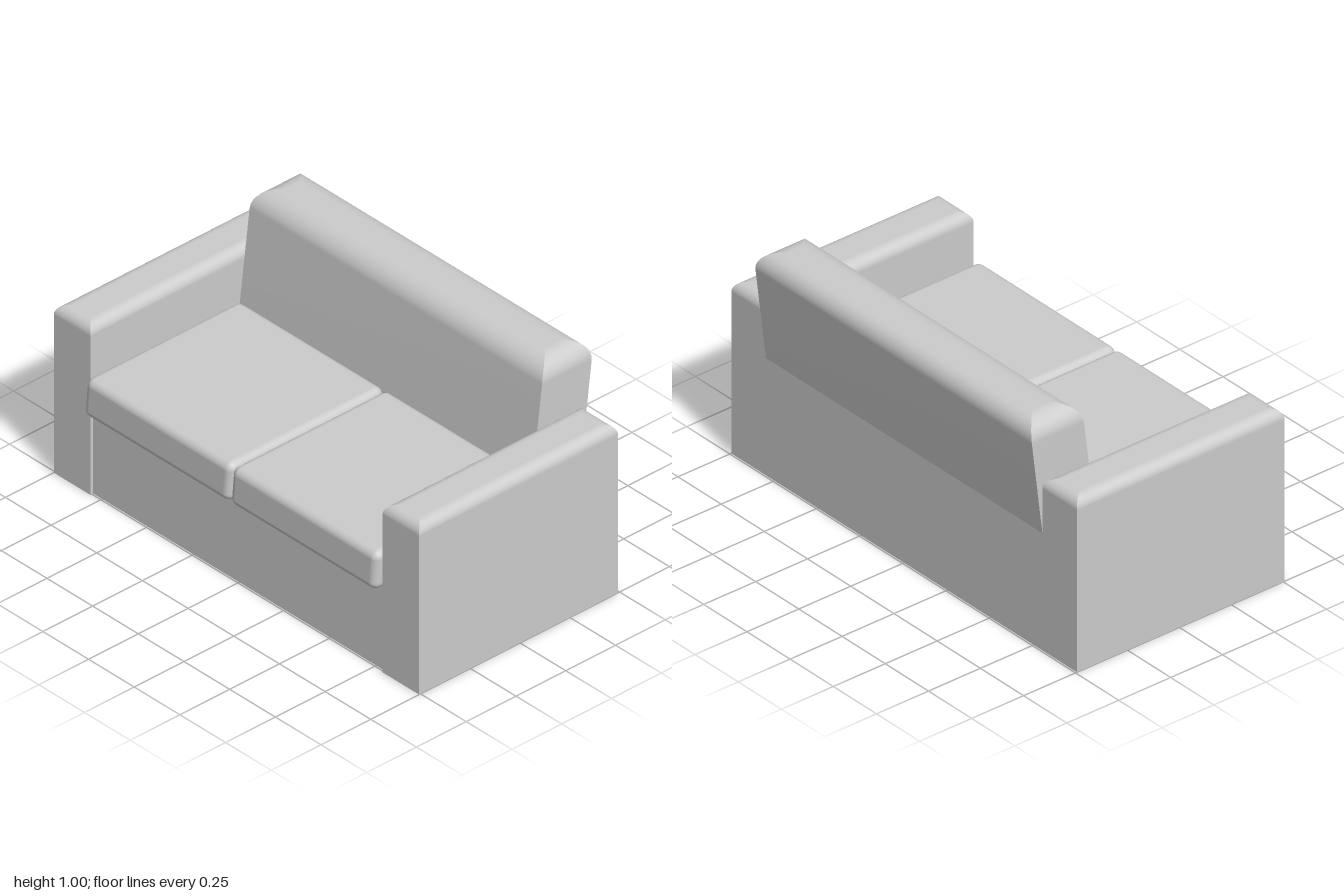
import * as THREE from 'three';
import { RoundedBoxGeometry } from 'three/addons/geometries/RoundedBoxGeometry.js';

const material = new THREE.MeshStandardMaterial({ color: 0xcccccc });
const panelMaterial = new THREE.MeshStandardMaterial({ color: 0xcccccc, side: THREE.DoubleSide });

// Block with sharp upright edges and a rounded, mitred top.
// Above leanFrom it shears backwards by lean per unit of height.
function roundedTopBlock(width, height, depth, radius, leanFrom = 0, lean = 0) {
  const rows = [[0, 0]];
  if (lean) rows.push([leanFrom, 0], [leanFrom, 0]); // doubled row keeps the crease sharp
  const steps = 8;
  for (let i = 0; i <= steps; i++) {
    const a = (i / steps) * Math.PI / 2;
    rows.push([height - radius + radius * Math.sin(a), radius * (1 - Math.cos(a))]);
  }
  const signs = [[1, 1], [1, -1], [-1, -1], [-1, 1]];
  const corner = ([y, inset], c) => [
    signs[c][0] * (width / 2 - inset),
    y,
    signs[c][1] * (depth / 2 - inset) - lean * Math.max(0, y - leanFrom),
  ];
  const positions = [];
  const index = [];
  // Four side strips, smooth upwards and creased at the corners
  for (let s = 0; s < 4; s++) {
    const start = positions.length / 3;
    rows.forEach((row, r) => {
      positions.push(...corner(row, s), ...corner(row, (s + 1) % 4));
      if (r === 0 || (lean && r === 2)) return;
      const a = start + (r - 1) * 2;
      index.push(a, a + 1, a + 3, a, a + 3, a + 2);
    });
  }
  // Top and bottom caps
  for (const [row, order] of [[rows[rows.length - 1], [0, 1, 2, 3]], [rows[0], [3, 2, 1, 0]]]) {
    const a = positions.length / 3;
    order.forEach((c) => positions.push(...corner(row, c)));
    index.push(a, a + 1, a + 2, a, a + 2, a + 3);
  }
  const geometry = new THREE.BufferGeometry();
  geometry.setAttribute('position', new THREE.Float32BufferAttribute(positions, 3));
  geometry.setIndex(index);
  geometry.computeVertexNormals();
  return geometry;
}

// Soft seat cushion whose front face leans back slightly
function cushionGeometry() {
  const geometry = new RoundedBoxGeometry(0.8, 0.165, 0.79, 5, 0.033);
  const p = geometry.attributes.position;
  for (let i = 0; i < p.count; i++) {
    if (p.getZ(i) > 0) p.setZ(i, p.getZ(i) - 0.09 * Math.max(0, p.getY(i) + 0.05));
  }
  return geometry;
}

export function createModel() {
  const sofa = new THREE.Group();
  sofa.name = 'sofa';

  const add = (name, geometry, x, y, z, mat = material) => {
    const mesh = new THREE.Mesh(geometry, mat);
    mesh.name = name;
    mesh.position.set(x, y, z);
    sofa.add(mesh);
  };

  // Arms and seat cushions, mirrored
  const arm = roundedTopBlock(0.2, 0.75, 1, 0.045);
  const cushion = cushionGeometry();
  for (const [side, s] of [['left', 1], ['right', -1]]) {
    add(side + 'Arm', arm, s * 0.9, 0, 0.007);
    add(side + 'Cushion', cushion, s * 0.4, 0.4525, 0.152);
  }

  // Back: upright base with a leaning upper part
  add('backrest', roundedTopBlock(1.6, 1, 0.25, 0.083, 0.51, 0.124), 0, 0, -0.368);

  // Thin panel closing the front below the cushions
  add('frontPanel', new THREE.PlaneGeometry(1.6, 0.375), 0, 0.1875, 0.493, panelMaterial);

  return sofa;
}
